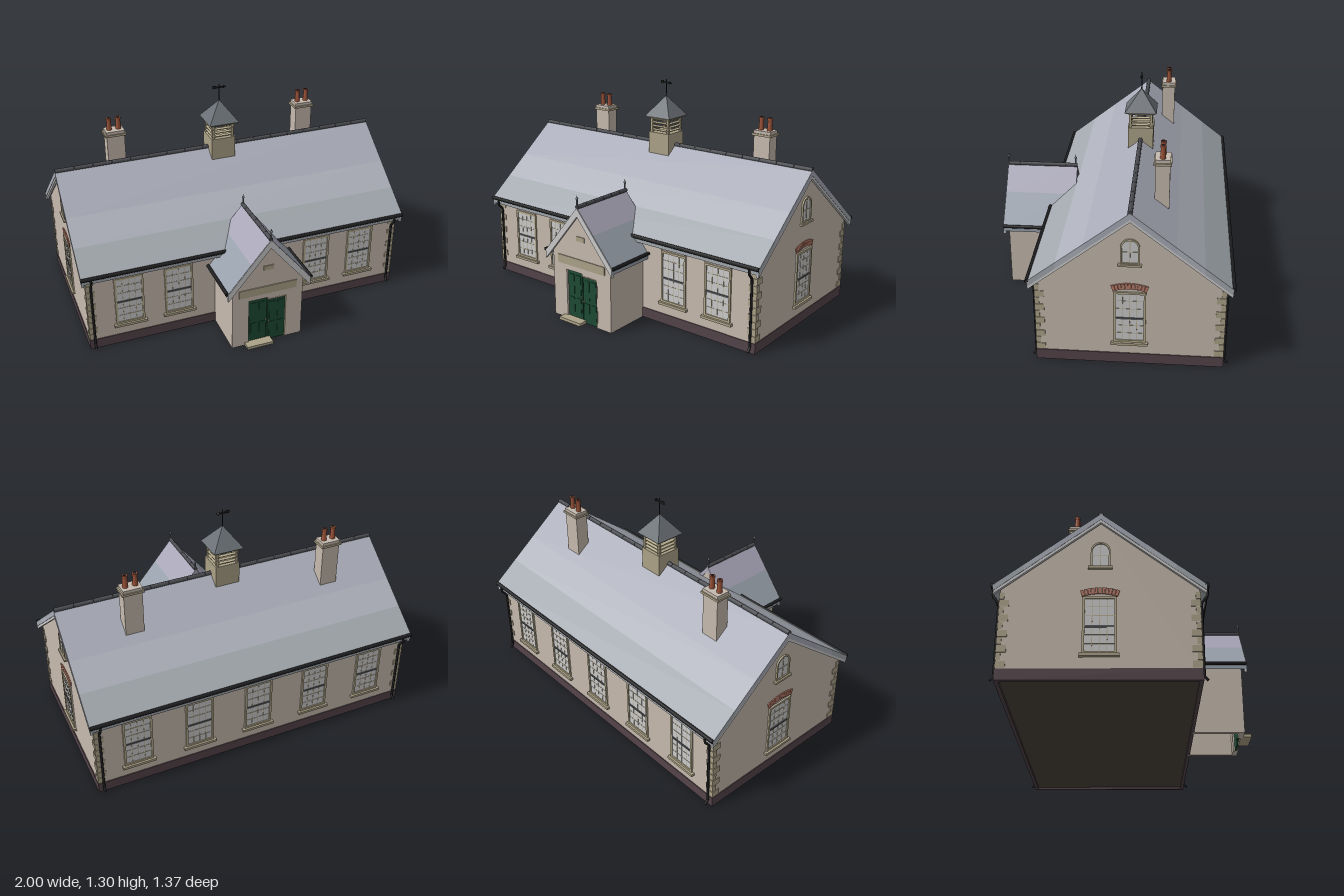
import * as THREE from 'three';

const mat = (color) => new THREE.MeshStandardMaterial({ color, side: THREE.DoubleSide });
const M = {
  wall: mat(0xc6baae), plinth: mat(0x54444a), stone: mat(0xaca288), cream: mat(0xb5aa8c),
  glass: mat(0xcccccc), brick: mat(0xb87a68), black: mat(0x1c1c1e), iron: mat(0x55565a),
  slate: [mat(0xa9acb8), mat(0xaeb1bb), mat(0xa2a8ae)], porchSlate: [mat(0xa9a7b8), mat(0x98a0ab)],
  lead: mat(0x6a7075), barge: mat(0xbcbdbe), door: mat(0x1d4a33), pot: mat(0x9a5238), floor: mat(0x4a443c),
  ridge: mat(0x4a4b50),
};

function add(parent, name, geo, material, x = 0, y = 0, z = 0) {
  const m = new THREE.Mesh(geo, material);
  m.name = name;
  m.position.set(x, y, z);
  parent.add(m);
  return m;
}
const box = (p, name, m, w, h, d, x, y, z) => add(p, name, new THREE.BoxGeometry(w, h, d), m, x, y, z);
const rod = (p, name, m, r0, r1, h, x, y, z, n = 10) => add(p, name, new THREE.CylinderGeometry(r0, r1, h, n), m, x, y, z);
const poly = (pts) => new THREE.Shape(pts.map(([x, y]) => new THREE.Vector2(x, y)));
const extrude = (shape, depth) => new THREE.ExtrudeGeometry(shape, { depth, bevelEnabled: false, curveSegments: 16 });
function group(parent, name, x = 0, y = 0, z = 0, ry = 0) {
  const g = new THREE.Group();
  g.name = name;
  g.position.set(x, y, z);
  g.rotation.y = ry;
  parent.add(g);
  return g;
}

// Two roof slopes along z, split into slate courses at the given offsets from the ridge
function pitched(p, name, apex, slope, thick, offsets, z0, z1, mats) {
  for (const s of [1, -1]) {
    for (let i = 0; i < offsets.length - 1; i++) {
      const [a, b] = [offsets[i], offsets[i + 1]];
      const shape = poly([[s * a, apex - a * slope], [s * b, apex - b * slope],
        [s * b, apex - b * slope - thick], [s * a, apex - a * slope - thick]]);
      add(p, name, extrude(shape, z1 - z0), mats[i], 0, 0, z0);
    }
  }
}

// Segmented half-round ridge tiles along z
function ridgeTiles(p, y, z0, z1, n, r) {
  const len = (z1 - z0) / n;
  for (let i = 0; i < n; i++) {
    rod(p, 'ridgeTile', M.ridge, r, r, len * 0.98, 0, y, z0 + len * (i + 0.5)).rotation.x = Math.PI / 2;
  }
}

// Sash window with brick arch and sill, facing +z
function sashWindow(parent, x, z, ry) {
  const g = group(parent, 'sashWindow', x, 0, z, ry);
  const w = 0.17, y0 = 0.135, y1 = 0.443, h = y1 - y0, mid = (y0 + y1) / 2;
  box(g, 'glass', M.glass, w, h, 0.004, 0, mid, 0.001);
  for (const s of [1, -1]) {
    box(g, 'frameSide', M.cream, 0.012, h, 0.012, s * (w / 2 - 0.006), mid, 0.003);
    box(g, 'frameRail', M.cream, w, 0.012, 0.012, 0, mid + s * (h / 2 - 0.006), 0.003);
    for (const k of [-1, 1]) box(g, 'glazingBar', M.cream, w, 0.003, 0.005, 0, mid + s * 0.075 + k * 0.024, 0.002);
  }
  for (const k of [-1, 0, 1]) box(g, 'glazingBar', M.cream, 0.003, h, 0.005, k * 0.037, mid, 0.002);
  box(g, 'meetingRail', M.iron, w - 0.02, 0.01, 0.01, 0, 0.282, 0.003);
  box(g, 'sill', M.stone, 0.195, 0.015, 0.03, 0, 0.127, 0.005);
  for (let i = -5; i <= 5; i++) {
    const a = i * 0.063, R = 0.277;
    const b = box(g, 'archBrick', M.brick, 0.0155, 0.034, 0.01, Math.sin(a) * R, 0.201 + Math.cos(a) * R, 0.001);
    b.rotation.z = -a;
  }
}

// Round-headed attic window, facing +z
function atticWindow(parent, x, z, ry) {
  const g = group(parent, 'atticWindow', x, 0, z, ry);
  const arch = (r, bottom) => {
    const s = new THREE.Shape();
    s.moveTo(-r, bottom);
    s.lineTo(r, bottom);
    s.lineTo(r, 0.705);
    s.absarc(0, 0.705, r, 0, Math.PI, false);
    s.closePath();
    return s;
  };
  const frame = arch(0.05, 0.61);
  frame.holes.push(arch(0.041, 0.618));
  add(g, 'archFrame', extrude(frame, 0.009), M.cream);
  add(g, 'glass', extrude(arch(0.045, 0.612), 0.003), M.glass);
  box(g, 'glazingBar', M.cream, 0.003, 0.13, 0.005, 0, 0.68, 0.003);
  box(g, 'glazingBar', M.cream, 0.085, 0.003, 0.005, 0, 0.68, 0.003);
  box(g, 'sill', M.stone, 0.122, 0.012, 0.025, 0, 0.606, 0.005);
}

// Main hall; its length runs along local z
function mainHall(root) {
  const g = group(root, 'mainHall', 0, 0, -0.143, Math.PI / 2);
  add(g, 'walls', extrude(poly([[-0.493, 0.02], [0.493, 0.02], [0.493, 0.493], [0, 0.878], [-0.493, 0.493]]), 1.94), M.wall, 0, 0, -0.97);
  box(g, 'floor', M.floor, 0.97, 0.004, 1.92, 0, 0.016, 0);
  for (const s of [1, -1]) {
    box(g, 'plinth', M.plinth, 0.02, 0.06, 1.95, s * 0.488, 0.03, 0);
    box(g, 'plinth', M.plinth, 0.996, 0.06, 0.02, 0, 0.03, s * 0.965);
  }
  pitched(g, 'slateRoof', 0.912, 0.78, 0.035, [0, 0.235, 0.38, 0.528], -1, 1, M.slate);
  for (const z of [-0.998, 0.983]) pitched(g, 'bargeBoard', 0.908, 0.78, 0.048, [0, 0.526], z, z + 0.015, [M.barge]);
  ridgeTiles(g, 0.911, -1, 1, 18, 0.013);

  for (const s of [1, -1]) {
    rod(g, 'gutter', M.black, 0.011, 0.011, 2, s * 0.53, 0.498, 0).rotation.x = Math.PI / 2;
    for (const e of [1, -1]) {
      // Downpipe with swan neck and shoe
      const pts = [[0.533, 0.495], [0.533, 0.462], [0.502, 0.425], [0.502, 0.03], [0.52, 0.01]];
      const path = new THREE.CurvePath();
      for (let i = 0; i < pts.length - 1; i++) {
        path.add(new THREE.LineCurve3(...[pts[i], pts[i + 1]].map(([x, y]) => new THREE.Vector3(s * x, y, e * 0.945))));
      }
      add(g, 'downpipe', new THREE.TubeGeometry(path, 40, 0.007, 8), M.black);
      // Alternating corner stones
      for (let i = 0; i < 10; i++) {
        const a = i % 2 ? 0.025 : 0.05, b = i % 2 ? 0.05 : 0.025;
        box(g, 'quoin', M.stone, a, 0.036, b, s * (0.497 - a / 2), 0.082 + i * 0.041, e * (0.974 - b / 2));
      }
    }
  }
}

function porch(root) {
  const g = group(root, 'porch');
  const front = poly([[-0.215, 0], [-0.115, 0], [-0.115, 0.302], [0.003, 0.302], [0.003, 0.29], [0.115, 0.29],
    [0.115, 0], [0.215, 0], [0.215, 0.41], [0, 0.665], [-0.215, 0.41]]);
  add(g, 'frontWall', extrude(front, 0.03), M.wall, 0, 0, 0.605);
  for (const s of [1, -1]) box(g, 'sideWall', M.wall, 0.025, 0.41, 0.27, s * 0.2025, 0.205, 0.48);
  add(g, 'backGable', extrude(poly([[-0.2, 0.42], [0.2, 0.42], [0, 0.665]]), 0.008), M.wall, 0, 0, 0.245);

  pitched(g, 'porchRoof', 0.7, 1.2, 0.035, [0, 0.115, 0.25], 0.24, 0.66, M.porchSlate);
  pitched(g, 'porchBarge', 0.697, 1.2, 0.05, [0, 0.249], 0.648, 0.663, [M.barge]);
  ridgeTiles(g, 0.702, 0.24, 0.66, 6, 0.012);
  for (const s of [1, -1]) rod(g, 'porchGutter', M.black, 0.01, 0.01, 0.31, s * 0.255, 0.4, 0.505).rotation.x = Math.PI / 2;
  for (const z of [0.25, 0.657]) {
    rod(g, 'finialPost', M.lead, 0.005, 0.005, 0.09, 0, 0.705, z);
    add(g, 'finialBall', new THREE.SphereGeometry(0.008, 10, 8), M.lead, 0, 0.75, z);
    rod(g, 'finialTip', M.lead, 0, 0.005, 0.02, 0, 0.76, z);
  }

  // Paired doors with raised panels
  for (const [x, y0, y1] of [[-0.056, 0.015, 0.3], [0.058, 0, 0.285]]) {
    box(g, 'door', M.door, 0.108, y1 - y0, 0.012, x, (y0 + y1) / 2, 0.621);
    for (const k of [-1, 1]) {
      for (const [py, ph] of [[0.08, 0.09], [0.205, 0.12]]) box(g, 'doorPanel', M.door, 0.036, ph, 0.004, x + k * 0.025, y0 + py, 0.628);
    }
    add(g, 'doorKnob', new THREE.SphereGeometry(0.005, 8, 6), M.cream, x - Math.sign(x) * 0.047, y0 + 0.135, 0.632);
  }
  box(g, 'doorHead', M.cream, 0.112, 0.006, 0.02, 0.06, 0.289, 0.627);
  box(g, 'doorJamb', M.cream, 0.005, 0.29, 0.02, 0.1145, 0.145, 0.627);
  box(g, 'step', M.stone, 0.16, 0.018, 0.06, -0.058, 0.009, 0.652);
  box(g, 'signBoard', M.stone, 0.35, 0.05, 0.006, 0, 0.36, 0.637);
  box(g, 'datePlaque', M.stone, 0.06, 0.028, 0.006, 0, 0.507, 0.637);
}

function chimney(root, x) {
  const g = group(root, 'chimney', x, 0, -0.29);
  box(g, 'stack', M.wall, 0.107, 0.33, 0.078, 0, 0.86, 0);
  box(g, 'lowerCap', M.stone, 0.128, 0.013, 0.095, 0, 1.026, 0);
  box(g, 'upperCap', M.wall, 0.112, 0.022, 0.082, 0, 1.039, 0);
  for (const s of [1, -1]) {
    rod(g, 'pot', M.pot, 0.012, 0.016, 0.07, s * 0.028, 1.083, 0, 14);
    rod(g, 'potRim', M.pot, 0.016, 0.015, 0.014, s * 0.028, 1.117, 0, 14);
    rod(g, 'potFlue', M.black, 0.009, 0.009, 0.002, s * 0.028, 1.1245, 0, 14);
  }
}

function bellTurret(root) {
  const g = group(root, 'bellTurret', 0, 0, -0.143);
  box(g, 'turretBase', M.stone, 0.148, 0.13, 0.148, 0, 0.92, 0);
  for (const x of [1, -1]) for (const z of [1, -1]) box(g, 'cornerPost', M.cream, 0.014, 0.1, 0.014, x * 0.06, 1.03, z * 0.06);
  for (let side = 0; side < 4; side++) {
    const f = group(g, 'louvres', 0, 0, 0, side * Math.PI / 2);
    for (let i = 0; i < 4; i++) box(f, 'louvre', M.cream, 0.134, 0.005, 0.016, 0, 1.0 + i * 0.022, 0.06).rotation.x = 0.35;
  }
  const bell = [[0, 0.05], [0.012, 0.047], [0.016, 0.02], [0.025, 0]].map(([x, y]) => new THREE.Vector2(x, y));
  add(g, 'bell', new THREE.LatheGeometry(bell, 16), M.iron, 0, 1.025, 0);
  box(g, 'turretEaves', M.cream, 0.17, 0.008, 0.17, 0, 1.077, 0);
  const roof = new THREE.ConeGeometry(0.092 * Math.SQRT2, 0.122, 4).rotateY(Math.PI / 4).toNonIndexed();
  roof.computeVertexNormals();
  add(g, 'turretRoof', roof, M.lead, 0, 1.142, 0);
  // Weather vane
  rod(g, 'vaneRod', M.black, 0.003, 0.003, 0.11, 0, 1.245, 0, 8);
  box(g, 'vaneArm', M.black, 0.075, 0.009, 0.004, 0, 1.281, 0);
  box(g, 'vaneTail', M.black, 0.02, 0.018, 0.004, -0.03, 1.283, 0);
  rod(g, 'vaneTip', M.black, 0, 0.01, 0.018, 0.035, 1.281, 0, 6).rotation.z = -Math.PI / 2;
}

export function createModel() {
  const root = new THREE.Group();
  root.name = 'schoolhouse';
  mainHall(root);
  porch(root);
  for (const x of [-0.73, -0.435, 0.435, 0.73]) sashWindow(root, x, 0.35, 0);
  for (let i = -2; i <= 2; i++) sashWindow(root, i * 0.366, -0.636, Math.PI);
  for (const s of [1, -1]) {
    sashWindow(root, s * 0.97, -0.143, s * Math.PI / 2);
    atticWindow(root, s * 0.97, -0.143, s * Math.PI / 2);
    chimney(root, s * 0.608);
  }
  bellTurret(root);
  return root;
}
